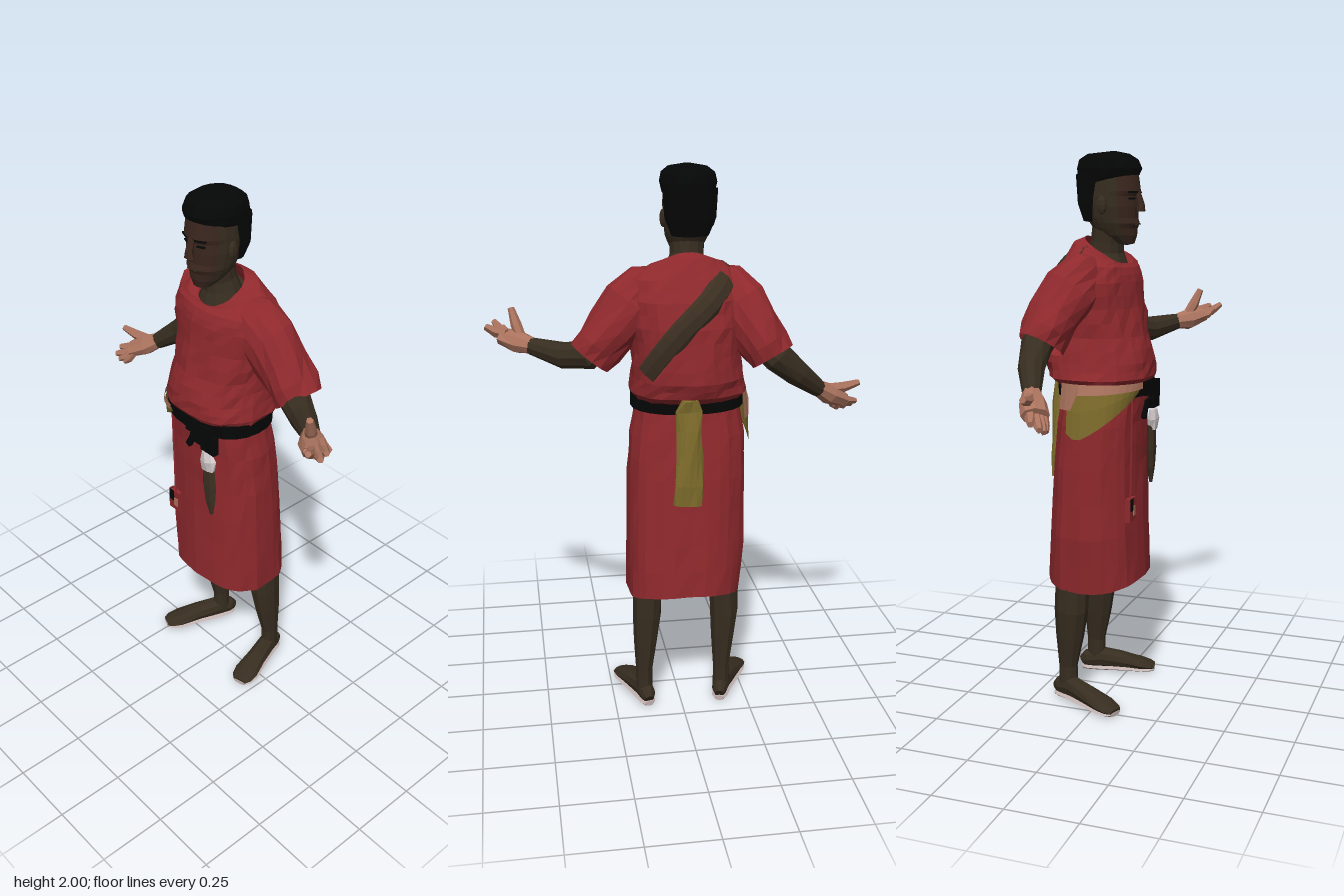
import * as THREE from 'three';

const mat = (name, color) => {
  const m = new THREE.MeshStandardMaterial({ color, side: THREE.DoubleSide });
  m.name = name;
  return m;
};

export function createModel() {
  const root = new THREE.Group();
  const M = {
    red: mat('redCloth', 0x8f292d), skin: mat('darkSkin', 0x372d20), face: mat('faceSkin', 0x3a261e),
    palm: mat('palm', 0xaa735e), black: mat('black', 0x050606), yellow: mat('yellowCloth', 0x7f6d2c),
    sole: mat('sole', 0xc0b0ae), white: mat('white', 0xd0c8c8), brown: mat('brownLeather', 0x3d3022),
  };

  const add = (name, geo, material, parent = root) => {
    const g = geo.index ? geo.toNonIndexed() : geo;
    g.computeVertexNormals();
    const mesh = new THREE.Mesh(g, material);
    mesh.name = name;
    parent.add(mesh);
    return mesh;
  };
  // Repeatable jitter from -1 to 1 for crumpled cloth
  const jitter = (i, j) => {
    const s = Math.sin(i * 12.9898 + j * 78.233) * 43758.5453;
    return 2 * (s - Math.floor(s)) - 1;
  };

  // Faceted surface from a rule f(u, v)
  const grid = (f, nu, nv) => {
    const pos = [], idx = [];
    for (let j = 0; j <= nv; j++) for (let i = 0; i <= nu; i++) pos.push(...f(i / nu, j / nv));
    for (let j = 0; j < nv; j++) for (let i = 0; i < nu; i++) {
      const a = j * (nu + 1) + i, b = a + 1, c = a + nu + 1, d = c + 1;
      idx.push(a, c, b, b, c, d);
    }
    const g = new THREE.BufferGeometry();
    g.setAttribute('position', new THREE.Float32BufferAttribute(pos, 3));
    g.setIndex(idx);
    return g;
  };

  // Upright loft; each ring is [y, xMin, xMax, zMin, zMax, rise of front edge]
  const loft = (rings, { sides = 24, sub = 1, a0 = 0, a1 = Math.PI * 2, fold = 0, k = 7, twist = 0, rough = 0, lift = null, pow = 0.88 } = {}) => {
    const n = rings.length - 1;
    const bend = (t) => Math.sign(t) * Math.abs(t) ** pow;
    return grid((u, v) => {
      const s = Math.min(Math.floor(v * n + 1e-6), n - 1), t = v * n - s;
      const [y, x0, x1, z0, z1, tilt] = [0, 1, 2, 3, 4, 5].map((i) => THREE.MathUtils.lerp(rings[s][i] ?? 0, rings[s + 1][i] ?? 0, t));
      const a = a0 + (a1 - a0) * u;
      const w = 1 + fold * (Math.sin(k * a + twist * v) + 0.5 * Math.sin((k + 4) * a - 2 * twist * v))
        + rough * jitter(Math.round(u * sides) % sides, Math.round(v * n * sub));
      return [(x0 + x1) / 2 + (x1 - x0) / 2 * w * bend(Math.cos(a)),
        y + tilt * Math.sin(a) + (lift ? lift(u, v) : 0),
        (z0 + z1) / 2 + (z1 - z0) / 2 * w * bend(Math.sin(a))];
    }, sides, n * sub);
  };

  // Closed limb; each station is [x, y, z, half width, half height]
  const limb = (st, sides = 8, fold = 0, caps = true) => {
    const P = st.map((s) => new THREE.Vector3(s[0], s[1], s[2]));
    const whole = P[P.length - 1].clone().sub(P[0]).normalize();
    const ref = Math.abs(whole.y) > 0.85 ? new THREE.Vector3(0, 0, 1) : new THREE.Vector3(0, 1, 0);
    const rows = st.map((s, i) => {
      const t = P[Math.min(i + 1, P.length - 1)].clone().sub(P[Math.max(i - 1, 0)]).normalize();
      const n = t.clone().cross(ref).normalize();
      return { p: P[i], n, b: n.clone().cross(t), w: s[3], h: s[4] ?? s[3] };
    });
    if (caps) {
      rows.unshift({ ...rows[0], w: 0, h: 0 });
      rows.push({ ...rows[rows.length - 1], w: 0, h: 0 });
    }
    return grid((u, v) => {
      const j = Math.round(v * (rows.length - 1)), r = rows[j], a = u * Math.PI * 2;
      const k = 1 + fold * (Math.sin(3 * a + j * 1.7) + 0.5 * jitter(Math.round(u * sides) % sides, j));
      return r.p.clone().addScaledVector(r.n, r.w * k * Math.cos(a)).addScaledVector(r.b, r.h * k * Math.sin(a)).toArray();
    }, sides, rows.length - 1);
  };
  const box = (name, m, x, y, z, w, h, d, parent) => {
    const mesh = add(name, new THREE.BoxGeometry(w, h, d), m, parent);
    mesh.position.set(x, y, z);
    return mesh;
  };

  // Tunic body and sleeves
  add('tunic', loft([
    [1.175, -0.225, 0.15, -0.16, 0.13], [1.215, -0.252, 0.172, -0.215, 0.156], [1.27, -0.24, 0.162, -0.232, 0.154],
    [1.36, -0.222, 0.16, -0.228, 0.128], [1.46, -0.232, 0.175, -0.218, 0.108], [1.55, -0.24, 0.185, -0.196, 0.098],
    [1.612, -0.225, 0.172, -0.16, 0.083, -0.012], [1.653, -0.175, 0.105, -0.122, 0.068, -0.04],
    [1.658, -0.115, 0.045, -0.09, 0.055, -0.05]], { sides: 30, sub: 2, fold: 0.014, twist: 5, rough: 0.02 }), M.red);
  add('rightSleeve', limb([[-0.1, 1.6, -0.03, 0.05, 0.06], [-0.17, 1.575, -0.05, 0.085, 0.09], [-0.215, 1.52, -0.085, 0.095, 0.1],
    [-0.265, 1.44, -0.125, 0.09, 0.095], [-0.3, 1.385, -0.145, 0.094, 0.088], [-0.322, 1.345, -0.158, 0.085, 0.08]], 14, 0.06, false), M.red);
  add('leftSleeve', limb([[0.04, 1.605, -0.03, 0.05, 0.055], [0.11, 1.58, -0.035, 0.085, 0.09], [0.165, 1.525, -0.05, 0.095, 0.1],
    [0.23, 1.44, -0.06, 0.09, 0.095], [0.28, 1.385, -0.063, 0.092, 0.088], [0.312, 1.345, -0.063, 0.085, 0.08]], 14, 0.06, false), M.red);

  // Skirt, a pale lining inside its front hem, and the belt
  add('skirt', loft([
    [0.45, -0.23, 0.187, -0.225, 0.128], [0.65, -0.25, 0.187, -0.208, 0.122], [0.9, -0.253, 0.18, -0.188, 0.118],
    [1.05, -0.248, 0.168, -0.172, 0.12], [1.17, -0.225, 0.148, -0.158, 0.13]],
  { sides: 32, sub: 2, fold: 0.01, k: 9, twist: 1.5, rough: 0.012, pow: 0.8, lift: (u, v) => (1 - v) * 0.015 * Math.sin(u * 12.566 - 1.57) }), M.red);
  add('hemLining', loft([[0.48, -0.2, 0.15, -0.2, 0.11], [0.6, -0.21, 0.15, -0.19, 0.1]],
    { sides: 6, a0: 1.5, a1: 2.3, pow: 0.8 }), M.palm);
  add('belt', loft([[1.15, -0.225, 0.15, -0.16, 0.13], [1.15, -0.245, 0.166, -0.176, 0.147],
    [1.2, -0.245, 0.166, -0.18, 0.15], [1.2, -0.225, 0.15, -0.16, 0.13]]), M.black);

  // Sash over the right hip, and the cloth hanging behind
  add('hipSash', loft([[1.0, -0.268, 0.18, -0.19, 0.142], [1.1, -0.264, 0.18, -0.19, 0.15], [1.19, -0.253, 0.174, -0.188, 0.156]],
    { sides: 10, a0: 1.9, a1: 3.5, lift: (u, v) => (1 - v) * Math.abs(u - 0.85) * 0.19 }), M.yellow);
  add('sashLining', loft([[1.17, -0.266, 0.182, -0.196, 0.159], [1.203, -0.256, 0.176, -0.19, 0.159]],
    { sides: 12, a0: 1.9, a1: 3.7, lift: (u, v) => (1 - v) * (u > 0.8 ? -0.06 : 0.01 - 0.02 * u) }), M.palm);
  add('hangingCloth', limb([[-0.02, 1.215, -0.205, 0.028, 0.02], [-0.02, 1.17, -0.195, 0.046, 0.024],
    [-0.024, 1.1, -0.202, 0.044, 0.026], [-0.022, 1.0, -0.208, 0.048, 0.025], [-0.018, 0.9, -0.212, 0.052, 0.025],
    [-0.015, 0.825, -0.212, 0.05, 0.022]], 12, 0.12), M.yellow);

  // Strap across the back, following the body
  const strapPath = new THREE.CatmullRomCurve3([[-0.17, 1.64, -0.05], [-0.15, 1.61, -0.128], [-0.09, 1.545, -0.19],
    [0, 1.46, -0.212], [0.07, 1.375, -0.207], [0.12, 1.3, -0.185]].map((p) => new THREE.Vector3(...p)));
  add('backStrap', grid((u, v) => {
    const p = strapPath.getPoint(v), a = u * Math.PI * 2, w = 0.046 * Math.cos(a);
    const out = new THREE.Vector3(p.x + 0.04, 0.1, p.z + 0.04).normalize();
    return [p.x - w * 0.7 + out.x * 0.022 * Math.sin(a), p.y - w * 0.72 + out.y * 0.02 * Math.sin(a), p.z + out.z * 0.022 * Math.sin(a)];
  }, 8, 10), M.brown);

  // Neck, head and hair; the face is warmer in tone than the sides of the head
  const head = new THREE.Group();
  head.name = 'head';
  root.add(head);
  add('neck', limb([[-0.035, 1.575, -0.02, 0.1, 0.085], [-0.035, 1.615, -0.02, 0.084, 0.078], [-0.035, 1.655, -0.018, 0.067, 0.064],
    [-0.04, 1.69, -0.012, 0.06], [-0.043, 1.76, 0, 0.062]], 12), M.skin, head);
  const skull = [[1.676, -0.043, -0.042, 0.06, 0.062], [1.682, -0.076, -0.01, 0.03, 0.088], [1.71, -0.1, 0.014, -0.035, 0.097],
    [1.735, -0.112, 0.026, -0.06, 0.098], [1.752, -0.119, 0.032, -0.07, 0.106], [1.77, -0.123, 0.035, -0.08, 0.1],
    [1.81, -0.13, 0.04, -0.09, 0.102], [1.845, -0.132, 0.042, -0.1, 0.1],
    [1.862, -0.132, 0.042, -0.1, 0.11], [1.93, -0.13, 0.04, -0.1, 0.1]];
  add('face', loft(skull, { sides: 10, a0: 0.5, a1: Math.PI - 0.5, pow: 0.94 }), M.face, head);
  add('sidesOfHead', loft(skull, { sides: 14, a0: Math.PI - 0.5, a1: Math.PI * 2 + 0.5, pow: 0.94 }), M.skin, head);
  add('nose', limb([[-0.045, 1.86, 0.1, 0.012], [-0.045, 1.815, 0.114, 0.014], [-0.045, 1.793, 0.115, 0.022, 0.014]], 6), M.face, head);
  box('mouth', M.skin, -0.045, 1.749, 0.102, 0.044, 0.004, 0.009, head);
  for (const s of [-1, 1]) {
    box('eye', M.black, -0.045 + s * 0.036, 1.837, 0.093, 0.028, 0.006, 0.009, head).rotation.y = s * 0.4;
    box('brow', M.black, -0.045 + s * 0.038, 1.859, 0.098, 0.04, 0.006, 0.009, head).rotation.y = s * 0.4;
    const ear = add('ear', new THREE.SphereGeometry(1, 7, 6), M.skin, head);
    ear.scale.set(0.012, 0.032, 0.02);
    ear.position.set(-0.045 + s * 0.087, 1.815, 0);
  }
  add('hairTop', loft([[1.895, -0.13, 0.04, -0.1, 0.085, 0.015], [1.905, -0.138, 0.048, -0.112, 0.106, 0.015], [1.94, -0.147, 0.057, -0.117, 0.112],
    [1.97, -0.14, 0.05, -0.11, 0.1], [1.99, -0.112, 0.025, -0.08, 0.07], [2, -0.05, -0.04, 0.01, 0.02]],
  { sides: 18, rough: 0.02, pow: 0.95 }), M.black, head);
  add('hairBack', loft([[1.755, -0.06, -0.03, -0.07, -0.06], [1.76, -0.11, 0.02, -0.09, -0.025], [1.82, -0.135, 0.045, -0.108, -0.012],
    [1.92, -0.142, 0.052, -0.116, 0.01]], { sides: 14 }), M.black, head);

  // Forearms and open hands
  const arm = (side, stations, palm, fingers) => {
    const g = new THREE.Group();
    g.name = side + 'Arm';
    root.add(g);
    add('forearm', limb(stations, 10), M.skin, g);
    add('palm', limb(palm, 8), M.palm, g);
    for (const [base, tip, r] of fingers) {
      const mid = base.map((c, i) => (c + tip[i]) / 2 - (i === 1 ? 0.006 : 0));
      add('finger', limb([[...base, r], [...mid, r], [...tip, r * 0.6]], 6), M.palm, g);
    }
  };
  arm('right', [[-0.26, 1.43, -0.12, 0.05], [-0.34, 1.345, -0.16, 0.056], [-0.42, 1.275, -0.145, 0.046], [-0.51, 1.205, -0.105, 0.031]],
    [[-0.5, 1.213, -0.11, 0.03, 0.028], [-0.55, 1.18, -0.083, 0.046, 0.038], [-0.605, 1.152, -0.052, 0.048, 0.03]],
    [[[-0.55, 1.2, -0.09], [-0.672, 1.212, -0.065], 0.019], [[-0.59, 1.165, -0.075], [-0.67, 1.135, -0.04], 0.018],
      [[-0.59, 1.155, -0.06], [-0.662, 1.117, -0.012], 0.018], [[-0.585, 1.15, -0.045], [-0.637, 1.105, -0.008], 0.017],
      [[-0.575, 1.15, -0.035], [-0.61, 1.102, -0.012], 0.016]]);
  arm('left', [[0.24, 1.43, -0.055, 0.05], [0.315, 1.348, -0.04, 0.056], [0.4, 1.337, 0.005, 0.047], [0.51, 1.357, 0.08, 0.031]],
    [[0.5, 1.357, 0.074, 0.031, 0.028], [0.55, 1.363, 0.115, 0.048, 0.04], [0.605, 1.38, 0.152, 0.05, 0.03]],
    [[[0.545, 1.38, 0.115], [0.576, 1.482, 0.16], 0.02], [[0.595, 1.395, 0.125], [0.668, 1.413, 0.175], 0.017],
      [[0.595, 1.385, 0.145], [0.67, 1.403, 0.203], 0.018], [[0.59, 1.378, 0.16], [0.64, 1.42, 0.228], 0.018],
      [[0.575, 1.37, 0.165], [0.61, 1.405, 0.207], 0.016]]);

  // Legs and bare feet; heel and toe set the direction of each foot
  const leg = (side, s, ankle, knee, heel, toe) => {
    const g = new THREE.Group();
    g.name = side + 'Leg';
    root.add(g);
    add('shin', limb([[ankle, 0.04, -0.125, 0.031, 0.036], [ankle, 0.13, -0.125, 0.031, 0.035], [(ankle + knee) / 2, 0.25, -0.115, 0.044, 0.053],
      [knee, 0.35, -0.107, 0.053, 0.063], [knee - s * 0.002, 0.44, -0.103, 0.054, 0.064], [knee - s * 0.025, 0.55, -0.08, 0.052, 0.06],
      [knee - s * 0.04, 0.8, -0.04, 0.06, 0.065]], 10), M.skin, g);
    const rows = [[0, -0.178, 0.018, 0.022], [0.04, -0.16, 0.029, 0.034], [0.2, -0.11, 0.034, 0.042], [0.55, -0.03, 0.04, 0.033],
      [0.85, 0.045, 0.049, 0.021], [1, 0.08, 0.043, 0.014], [1.06, 0.097, 0.028, 0.01]];
    const x = (t) => heel + (toe - heel) * t;
    add('foot', limb(rows.map(([t, z, w, h]) => [x(t), h + 0.007, z, w, h]), 10), M.skin, g);
    add('sole', limb(rows.map(([t, z, w]) => [x(t), 0.01, z, w, 0.01]), 8), M.sole, g);
  };
  leg('right', -1, -0.16, -0.172, -0.145, -0.255);
  leg('left', 1, 0.137, 0.123, 0.125, 0.195);

  // Buckle, pouch and dagger at the front of the belt
  box('buckle', M.black, 0.02, 1.165, 0.139, 0.12, 0.05, 0.022);
  box('beltPouch', M.black, 0.066, 1.12, 0.13, 0.07, 0.07, 0.024);
  box('beltLoop', M.black, -0.035, 1.085, 0.128, 0.022, 0.055, 0.018).rotation.z = -0.5;
  box('beltKnot', M.black, 0, 1.11, 0.13, 0.06, 0.028, 0.018);
  add('daggerCollar', limb([[0.05, 1.08, 0.132, 0.02, 0.014], [0.056, 1.045, 0.134, 0.038, 0.018], [0.06, 1.005, 0.13, 0.03, 0.016]], 7, 0.12), M.white);
  add('scabbard', limb([[0.055, 1.02, 0.126, 0.032, 0.014], [0.058, 0.93, 0.124, 0.036, 0.016], [0.06, 0.86, 0.122, 0.026, 0.014],
    [0.064, 0.8, 0.121, 0.006]], 6), M.brown);

  // Cord and small charm hanging on the right
  add('charmCord', limb([[-0.15, 1.15, 0.12, 0.004], [-0.15, 0.78, 0.114, 0.004]], 5), M.red);
  box('charmPouch', M.red, -0.15, 0.745, 0.114, 0.058, 0.085, 0.02);
  box('charmBand', M.black, -0.162, 0.765, 0.12, 0.024, 0.045, 0.014);
  box('charmTip', M.palm, -0.138, 0.74, 0.12, 0.02, 0.035, 0.014);
  return root;
}
